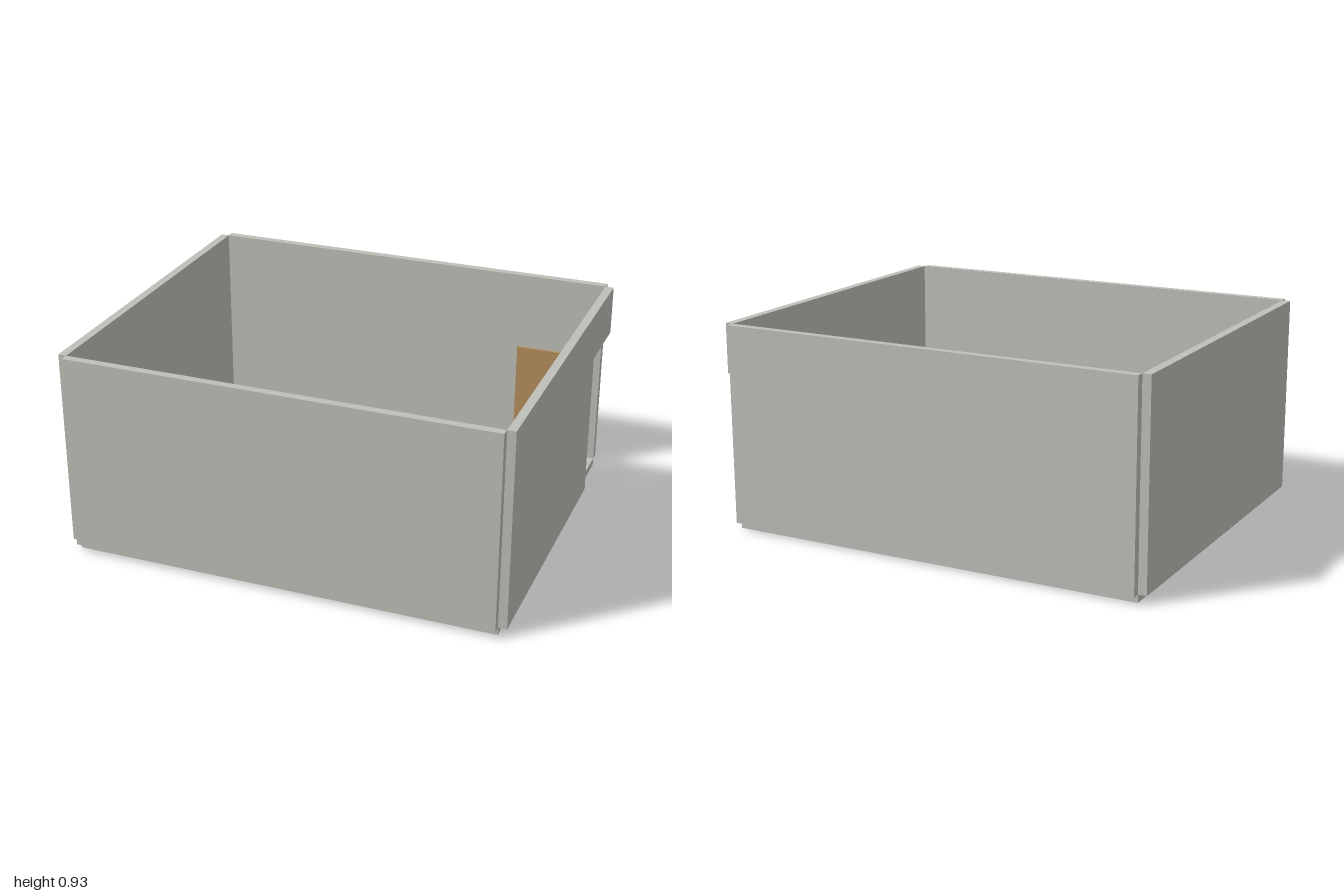
import * as THREE from 'three';

export function createModel() {
  const room = new THREE.Group();
  room.name = 'room';

  const mat = (name, color) => Object.assign(new THREE.MeshStandardMaterial({ color }), { name });
  const plaster = mat('plaster grey', 0xc0c0ba);
  const wood = mat('wood brown', 0xb58f5e);
  const teal = mat('chair teal', 0x45959b);

  // box given by its minimum and maximum corners
  const box = (parent, name, material, [x0, y0, z0], [x1, y1, z1]) => {
    const mesh = new THREE.Mesh(new THREE.BoxGeometry(x1 - x0, y1 - y0, z1 - z0), material);
    mesh.position.set((x0 + x1) / 2, (y0 + y1) / 2, (z0 + z1) / 2);
    mesh.name = name;
    parent.add(mesh);
  };

  // four square legs just inside a rectangle
  const legs = (parent, name, material, [x0, z0], [x1, z1], top, t) => {
    for (const x of [x0, x1 - t])
      for (const z of [z0, z1 - t])
        box(parent, name, material, [x, F, z], [x + t, top, z + t]);
  };

  const F = 0.035, H = 0.93;      // floor surface, wall top
  const X = 0.962, Z = 0.802;     // inner half-sizes
  const T = 0.037;                // wall thickness

  // floor and walls; corners are left open
  box(room, 'floor', plaster, [-X, 0, -Z], [X, F, Z]);
  box(room, 'frontWall', plaster, [-X, F, Z], [X, H, Z + T]);
  box(room, 'backWall', plaster, [-X, F, -Z - T], [X, H, -Z]);
  box(room, 'rightWall', plaster, [-1, F, -Z], [-X, H, Z]);

  // left wall with a doorway at its back end
  const doorZ = -0.48, doorTop = 0.705;
  const shape = new THREE.Shape([[Z, F], [Z, H], [-Z, H], [-Z, doorTop], [doorZ, doorTop], [doorZ, F]]
    .map(([z, y]) => new THREE.Vector2(-z, y)));
  const leftWall = new THREE.Mesh(
    new THREE.ExtrudeGeometry(shape, { depth: 1 - X, bevelEnabled: false }), plaster);
  leftWall.rotation.y = Math.PI / 2;
  leftWall.position.x = X;
  leftWall.name = 'leftWall';
  room.add(leftWall);

  // door standing open into the room
  box(room, 'door', wood, [0.64, F, -0.493], [X, doorTop, -0.482]);

  // table
  const table = new THREE.Group();
  table.name = 'table';
  box(table, 'tableTop', wood, [0.225, 0.27, 0], [0.415, 0.285, 0.32]);
  legs(table, 'tableLeg', wood, [0.225, 0], [0.415, 0.32], 0.27, 0.016);
  room.add(table);

  // chair facing the table
  const chair = new THREE.Group();
  chair.name = 'chair';
  box(chair, 'seat', teal, [0.047, 0.17, 0.08], [0.207, 0.185, 0.24]);
  box(chair, 'backrest', teal, [0.047, 0.185, 0.08], [0.06, 0.34, 0.24]);
  legs(chair, 'chairLeg', teal, [0.047, 0.08], [0.207, 0.24], 0.17, 0.013);
  room.add(chair);

  return room;
}
